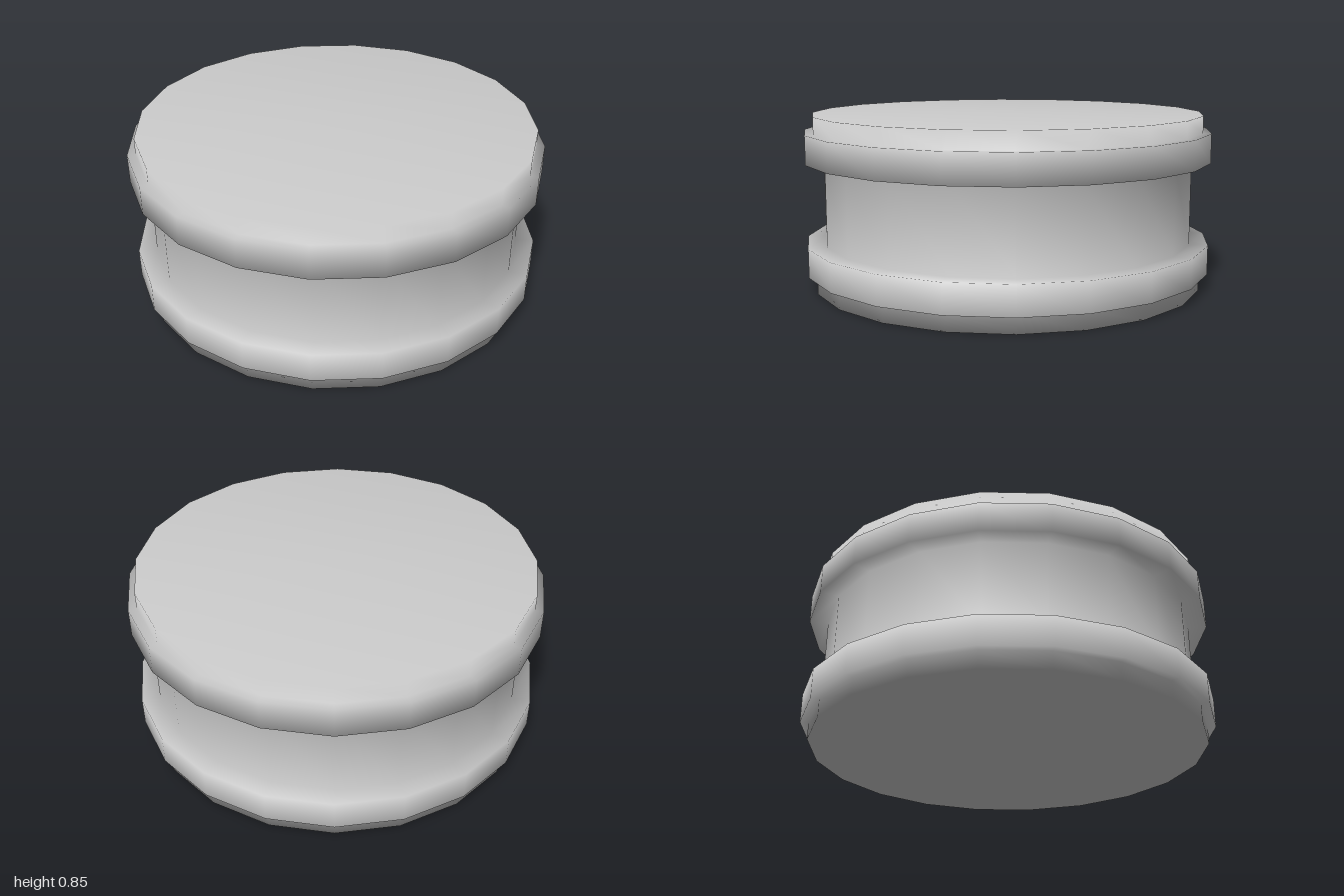
import * as THREE from 'three';
import { mergeVertices } from 'three/addons/utils/BufferGeometryUtils.js';

const SIDES = 20;

// Lathe a closed profile, then weld it so the shading flows softly over every edge
function softLathe(profile) {
  const geometry = new THREE.LatheGeometry(profile.map(([r, y]) => new THREE.Vector2(r, y)), SIDES);
  geometry.deleteAttribute('normal');
  geometry.deleteAttribute('uv');
  const welded = mergeVertices(geometry, 1e-4);
  welded.computeVertexNormals();
  return welded;
}

export function createModel() {
  const group = new THREE.Group();
  group.name = 'spool';
  const height = 0.845;

  // Lower half: base cap, rim, flange, groove wall
  const lower = [[0, 0], [0.96, 0], [0.96, 0.083], [1, 0.083], [1, 0.224], [0.91, 0.224]];
  // Upper half mirrors the lower
  const upper = lower.map(([r, y]) => [r, height - y]).reverse();

  const body = new THREE.Mesh(
    softLathe([...lower, ...upper]),
    new THREE.MeshStandardMaterial({ color: 0xcccccc })
  );
  body.name = 'groovedDisc';
  group.add(body);
  return group;
}
